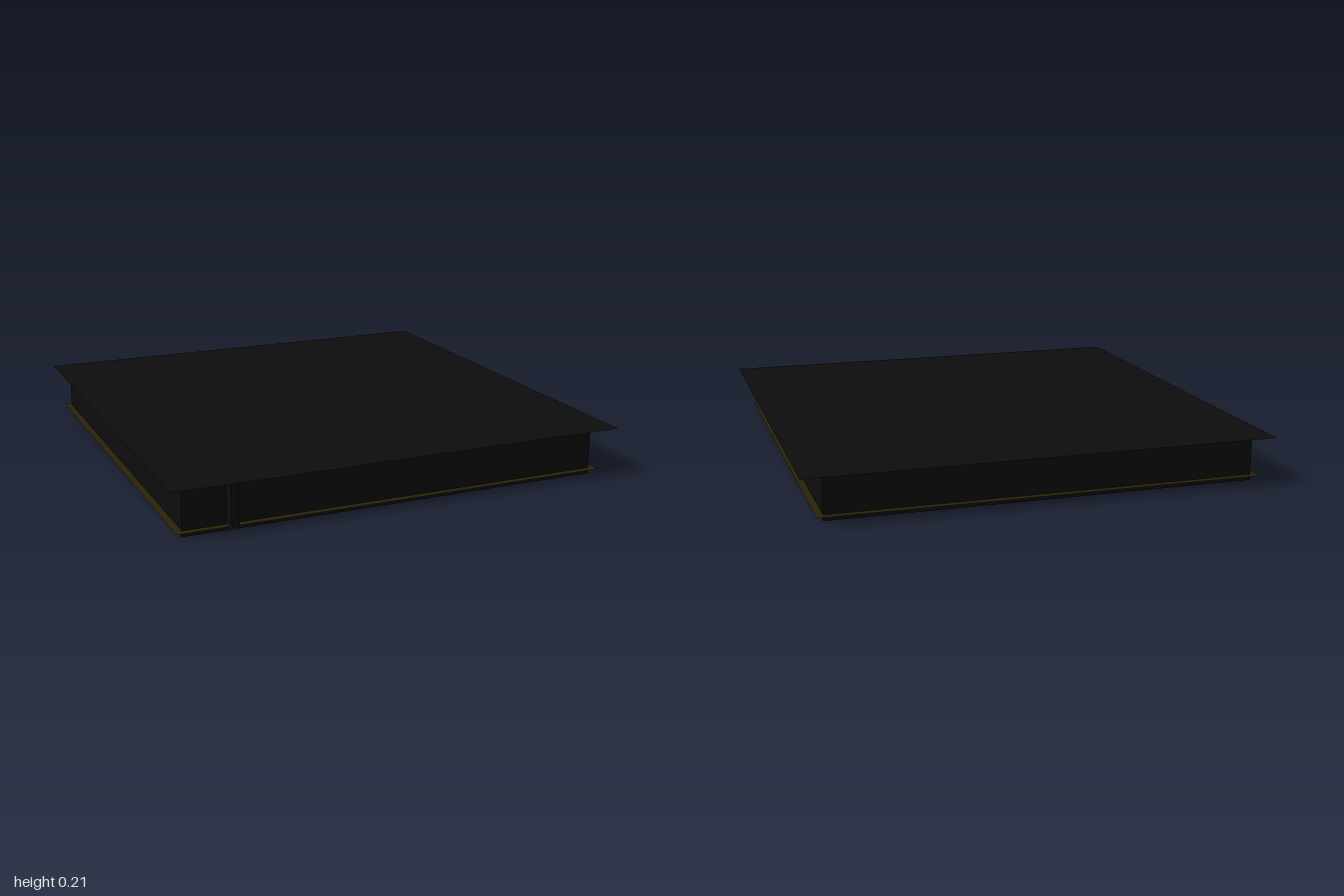
import * as THREE from 'three';

export function createModel() {
  const group = new THREE.Group();
  const black = new THREE.MeshStandardMaterial({ color: 0x0d0d0d, side: THREE.DoubleSide });
  black.name = 'black';
  const brown = new THREE.MeshStandardMaterial({ color: 0x2b2409, side: THREE.DoubleSide });
  brown.name = 'dark brown';

  const add = (name, geometry, material, x, y, z) => {
    const mesh = new THREE.Mesh(geometry, material);
    mesh.name = name;
    mesh.position.set(x, y, z);
    group.add(mesh);
    return mesh;
  };
  // Horizontal sheet without thickness
  const sheet = (name, width, depth, material, x, y, z) =>
    add(name, new THREE.PlaneGeometry(width, depth).rotateX(-Math.PI / 2), material, x, y, z);

  const cx = -0.02, cz = 0.02; // the walls sit slightly off the middle of the top
  const half = 0.92, height = 0.208, floorY = 0.025;

  // Overhanging top and the lower sheet, which shows as a narrow ledge
  sheet('topSheet', 2, 2, black, 0, height, 0);
  sheet('floorSheet', 1.9, 1.9, brown, cx, floorY, cz);

  // Four walls, running below the floor as a rim open at the bottom
  for (let i = 0; i < 4; i++) {
    const angle = (i * Math.PI) / 2;
    const wall = add('wall', new THREE.PlaneGeometry(half * 2, height), black,
      cx + Math.sin(angle) * half, height / 2, cz + Math.cos(angle) * half);
    wall.rotation.y = angle;
  }

  // Narrow post on the front wall with a brown foot
  const postHeight = height - floorY;
  add('frontPost', new THREE.BoxGeometry(0.03, postHeight - 0.006, 0.06), black,
    -0.745, floorY + 0.006 + (postHeight - 0.006) / 2, 0.97);
  add('postFoot', new THREE.BoxGeometry(0.03, 0.006, 0.06), brown, -0.745, floorY + 0.003, 0.97);

  return group;
}
